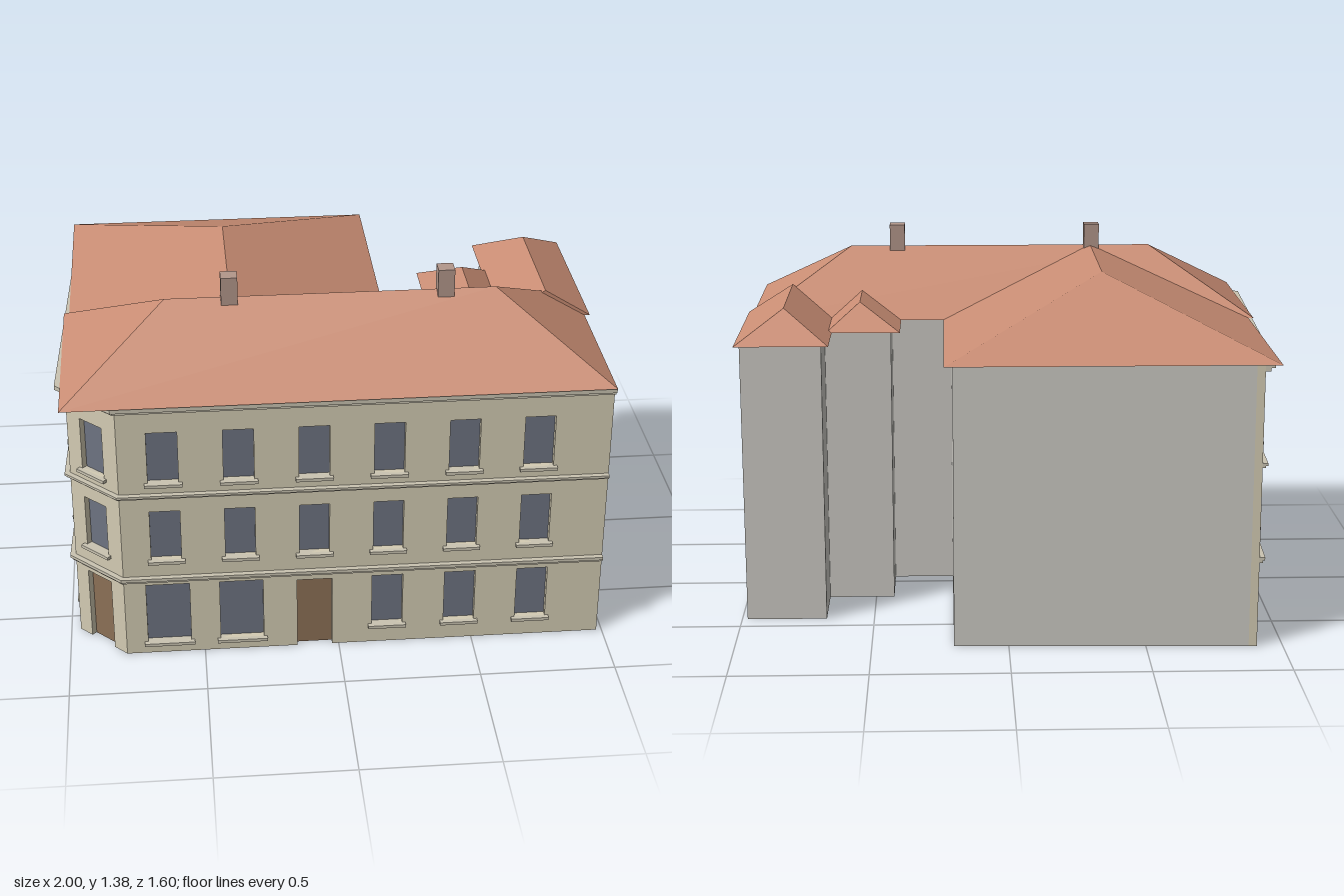
import * as THREE from 'three';

const mat = (color, side = THREE.FrontSide) => new THREE.MeshStandardMaterial({ color, side, flatShading: true });
const MAT = {
  facade: mat(0xd4ccb4), wall: mat(0xcccac4), trim: mat(0xcac4b2), glass: mat(0x6e7482),
  door: mat(0x8c7056), roof: mat(0xc98d74, THREE.DoubleSide), chimney: mat(0xb3978b),
};
const EAVE = 1.06, RIDGE = 1.29, REVEAL = 0.03;

// Street side in plan [x, z]: left wall, cut corner, front wall
const STREET = [[-0.905, -0.76], [-0.965, 0.585], [-0.79, 0.76], [0.98, 0.76]];
// Courtyard side in plan, from the right wall round to the back wing
const YARD = [[0.98, -0.42], [0.68, -0.425], [0.68, -0.18], [0.43, -0.18], [0.43, 0.06], [0.2, 0.06], [0.2, -0.73]];

function add(parent, name, geometry, material) {
  const mesh = new THREE.Mesh(geometry, material);
  mesh.name = name;
  parent.add(mesh);
  return mesh;
}

// Street line moved outwards by d, with mitred corners
function offsetStreet(d) {
  const normals = STREET.slice(1).map(([x, z], i) => {
    const dx = x - STREET[i][0], dz = z - STREET[i][1], l = Math.hypot(dx, dz);
    return [-dz / l, dx / l];
  });
  return STREET.map(([x, z], i) => {
    const a = normals[Math.max(i - 1, 0)], b = normals[Math.min(i, normals.length - 1)];
    const k = d / (1 + a[0] * b[0] + a[1] * b[1]);
    return [x + (a[0] + b[0]) * k, z + (a[1] + b[1]) * k];
  });
}

// Upright prism over a plan outline
function prism(points, y0, y1) {
  const shape = new THREE.Shape(points.map(([x, z]) => new THREE.Vector2(x, -z)));
  return new THREE.ExtrudeGeometry(shape, { depth: y1 - y0, bevelEnabled: false })
    .rotateX(-Math.PI / 2).translate(0, y0, 0);
}

// Wall panel with recessed openings { x, w, y0, y1, door }
function facade(name, p, q, openings) {
  const group = new THREE.Group();
  group.name = name;
  const L = Math.hypot(q[0] - p[0], q[1] - p[1]);
  const outline = [[0, 0]], holes = [];
  for (const { x, w, y0, y1, door } of openings) {
    const l = x - w / 2, r = x + w / 2;
    if (door) outline.push([l, 0], [l, y1], [r, y1], [r, 0]);
    else holes.push([[l, y0], [l, y1], [r, y1], [r, y0]]);
    const pane = add(group, door ? 'door' : 'windowPane', new THREE.BoxGeometry(w, y1 - y0, 0.008), door ? MAT.door : MAT.glass);
    pane.position.set(x, (y0 + y1) / 2, -0.026);
    if (!door) {
      const sill = add(group, 'windowSill', new THREE.BoxGeometry(w + 0.026, 0.012, 0.04), MAT.trim);
      sill.position.set(x, y0 - 0.006, -0.002);
    }
  }
  outline.push([L, 0], [L, EAVE], [0, EAVE]);
  const toVec = ([x, y]) => new THREE.Vector2(x, y);
  const shape = new THREE.Shape(outline.map(toVec));
  shape.holes = holes.map(h => new THREE.Path(h.map(toVec)));
  add(group, 'facadeWall', new THREE.ExtrudeGeometry(shape, { depth: REVEAL, bevelEnabled: false }).translate(0, 0, -REVEAL), MAT.facade);
  group.position.set(p[0], 0, p[1]);
  group.rotation.y = Math.atan2(p[1] - q[1], q[0] - p[0]);
  return group;
}

// Hipped roof over a rectangle; ridge a-b runs left to right or back to front
function hipRoof(x0, x1, z0, z1, a, b, alongX, frontEnd = true) {
  const BL = [x0, EAVE, z0], BR = [x1, EAVE, z0], FR = [x1, EAVE, z1], FL = [x0, EAVE, z1];
  const faces = alongX
    ? [[BL, FL, a], [FL, FR, b, a], [FR, BR, b], [BR, BL, a, b]]
    : [[BL, FL, b, a], [FR, BR, a, b], [BR, BL, a]];
  if (!alongX && frontEnd) faces.push([FL, FR, b]);
  faces.push([BL, BR, FR, FL]);
  const pos = [];
  for (const f of faces)
    for (let i = 2; i < f.length; i++) pos.push(...f[0], ...f[i - 1], ...f[i]);
  const g = new THREE.BufferGeometry();
  g.setAttribute('position', new THREE.Float32BufferAttribute(pos, 3));
  g.computeVertexNormals();
  return g;
}

export function createModel() {
  const model = new THREE.Group();
  model.name = 'townHouse';

  // Plain walls
  add(model, 'mainWalls', prism([...offsetStreet(-REVEAL), ...YARD], 0, EAVE), MAT.wall);

  // Openings
  const upper = x => [{ x, w: 0.11, y0: 0.41, y1: 0.615 }, { x, w: 0.11, y0: 0.735, y1: 0.94 }];
  const small = x => ({ x, w: 0.115, y0: 0.08, y1: 0.295 });
  const large = x => ({ x, w: 0.16, y0: 0.05, y1: 0.3 });
  const door = (x, w) => ({ x, w, y0: 0, y1: 0.292, door: true });

  const [backCorner, cutLeft, cutRight, frontRight] = STREET;
  const fx = [0, 1, 2, 3, 4, 5].map(i => 0.16 + i * 0.27);
  model.add(facade('frontFacade', cutRight, frontRight, [
    large(fx[0]), large(fx[1]), door(fx[2], 0.13), small(fx[3]), small(fx[4]), small(fx[5]),
    ...fx.flatMap(upper),
  ]));
  model.add(facade('cornerFacade', cutLeft, cutRight, [door(0.122, 0.12), ...upper(0.122)]));
  const lx = [0.21, 0.52, 0.82, 1.13];
  model.add(facade('leftFacade', backCorner, cutLeft, [
    small(lx[0]), large(lx[1]), large(lx[2]), large(lx[3]), ...lx.flatMap(upper),
  ]));

  // Bands and cornice along the street sides: [bottom, top, depth]
  const bands = [
    ['lowerBand', 0.318, 0.328, 0.012], ['lowerBandCap', 0.328, 0.34, 0.02],
    ['upperBand', 0.675, 0.683, 0.012], ['upperBandCap', 0.683, 0.692, 0.02],
    ['cornice', 1.028, 1.042, 0.02], ['corniceCap', 1.042, 1.058, 0.035],
  ];
  for (const [name, y0, y1, d] of bands)
    add(model, name, prism([...offsetStreet(d), ...offsetStreet(-0.01).reverse()], y0, y1), MAT.trim);

  // Roofs
  add(model, 'mainRoof', hipRoof(-0.98, 0.98, 0.03, 0.8, [-0.6, RIDGE, 0.41], [0.6, RIDGE, 0.41], true), MAT.roof);
  add(model, 'backWingRoof', hipRoof(-0.96, 0.23, -0.8, 0.03, [-0.365, RIDGE, -0.21], [-0.365, RIDGE, 0.41], false, false), MAT.roof);
  add(model, 'rightWingRoof', hipRoof(0.652, 1.0, -0.45, 0.213, [0.825, 1.17, -0.275], [0.825, 1.17, 0.213], false), MAT.roof);
  add(model, 'smallWingRoof', hipRoof(0.395, 0.675, -0.21, 0.03, [0.55, 1.15, -0.06], [0.55, 1.15, 0.18], false, false), MAT.roof);

  // Chimneys
  for (const x of [-0.368, 0.414])
    add(model, 'chimney', new THREE.BoxGeometry(0.06, 0.175, 0.06).translate(x, 1.29, 0.412), MAT.chimney);

  return model;
}
